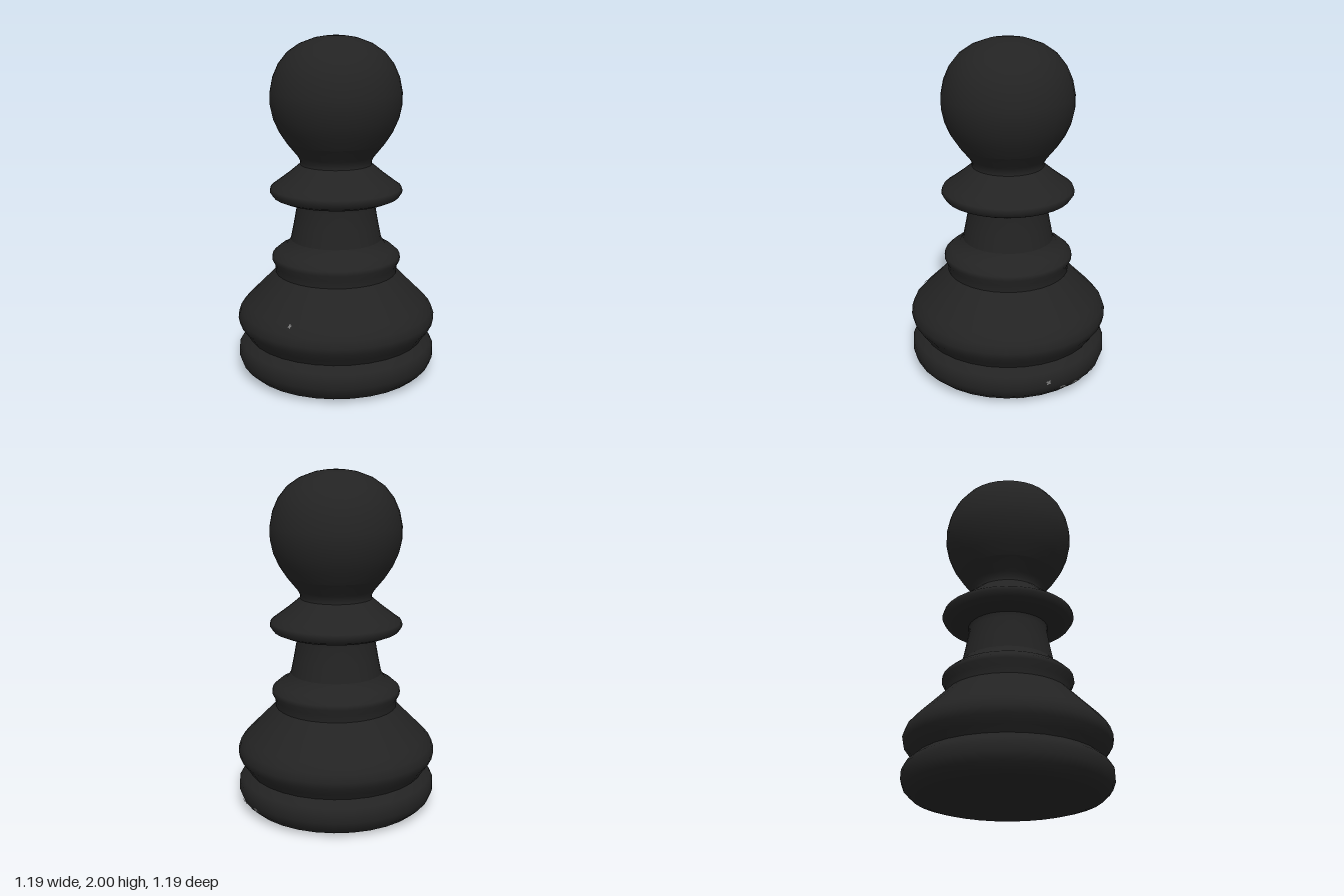
import * as THREE from 'three';

const SIDES = 32;

// Turned profile of each part, [radius, height] from bottom to top
const PROFILES = {
  base: [[0, 0], [0.485, 0.002], [0.535, 0.017], [0.575, 0.055], [0.592, 0.1], [0.59, 0.15], [0.572, 0.18], [0.528, 0.217]],
  lowerBody: [[0.528, 0.217], [0.552, 0.255], [0.585, 0.3], [0.593, 0.34], [0.578, 0.385], [0.54, 0.43], [0.45, 0.52], [0.362, 0.61]],
  lowerRing: [[0.362, 0.61], [0.366, 0.655], [0.384, 0.69], [0.38, 0.715], [0.342, 0.748], [0.295, 0.773], [0.27, 0.81]],
  stem: [[0.27, 0.81], [0.25, 0.91], [0.232, 1.01], [0.236, 1.04]],
  collar: [[0.236, 1.04], [0.33, 1.054], [0.372, 1.072], [0.392, 1.102], [0.385, 1.125], [0.35, 1.15], [0.28, 1.203], [0.212, 1.26]],
  neck: [[0.212, 1.26], [0.21, 1.28], [0.226, 1.31], [0.287, 1.385]],
  head: [[0.287, 1.385], [0.333, 1.455], [0.366, 1.53], [0.383, 1.61], [0.383, 1.68], [0.366, 1.765], [0.333, 1.84],
    [0.28, 1.907], [0.21, 1.955], [0.12, 1.988], [0.05, 1.999], [0, 2]],
};

// Radius of a profile at a given height
function radiusAt(profile, y) {
  for (let i = 1; i < profile.length; i++) {
    const [r0, y0] = profile[i - 1], [r1, y1] = profile[i];
    if (y <= y1) return r0 + (r1 - r0) * (y - y0) / (y1 - y0);
  }
  return profile[profile.length - 1][0];
}

// Ragged patch wrapped round the turned surface
function chip(profile, degrees, y, width, height, seed) {
  const geo = new THREE.CircleGeometry(1, 11);
  const pos = geo.attributes.position;
  for (let i = 0; i < pos.count; i++) {
    const wobble = 0.75 + 0.3 * Math.sin((i % 11) * 2.3 + seed);
    const h = Math.max(0.004, y + pos.getY(i) * wobble * height / 2);
    const r = radiusAt(profile, h) + 0.004;
    const phi = THREE.MathUtils.degToRad(degrees) + pos.getX(i) * wobble * width / 2 / r;
    pos.setXYZ(i, r * Math.sin(phi), h, r * Math.cos(phi));
  }
  geo.computeVertexNormals();
  return geo;
}

export function createModel() {
  const group = new THREE.Group();
  const black = new THREE.MeshStandardMaterial({ color: 0x232323 });
  black.name = 'black paint';
  const grey = new THREE.MeshStandardMaterial({ color: 0x777777 });
  grey.name = 'worn grey';

  const add = (name, geometry, material) => {
    const mesh = new THREE.Mesh(geometry, material);
    mesh.name = name;
    group.add(mesh);
  };

  // Turned body
  for (const [name, points] of Object.entries(PROFILES)) {
    const profile = points.map(([r, y]) => new THREE.Vector2(r, y));
    add(name, new THREE.LatheGeometry(profile, SIDES), black);
  }

  // Worn chips round the foot: angle from the front, height, width, height of chip
  [
    [31, 0.032, 0.08, 0.04], [47, 0.13, 0.04, 0.035], [57, 0.07, 0.08, 0.025],
    [66, 0.058, 0.12, 0.045], [84, 0.078, 0.11, 0.04],
  ].forEach(([a, y, w, h], i) => add('wornChip', chip(PROFILES.base, a, y, w, h, i * 1.7), grey));
  add('wornChip', chip(PROFILES.lowerBody, -83, 0.43, 0.025, 0.025, 4), grey);

  return group;
}
